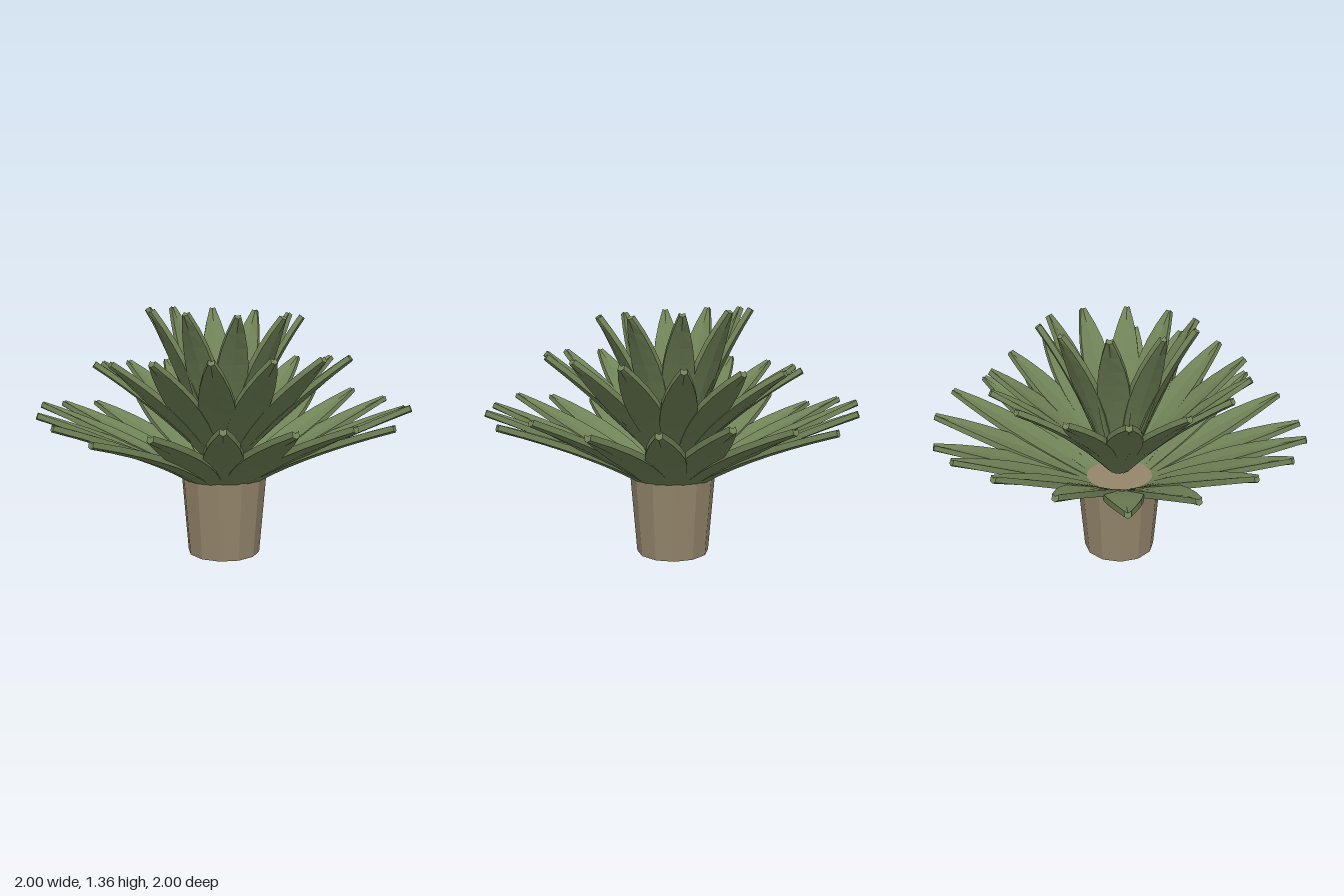
import * as THREE from 'three';

// Half widths of a leaf from base to tip
const WIDTHS = [0.032, 0.048, 0.066, 0.084, 0.096, 0.1, 0.094, 0.077, 0.051, 0.015];
const TIP_THICK = 0.013;
const CHANNEL = 0.009;

// Thick, slightly channelled leaf that follows an arc in the z-y plane
function leafGeometry(base, bend, tip, widthScale, baseThick) {
  const curve = new THREE.QuadraticBezierCurve(
    new THREE.Vector2(...base), new THREE.Vector2(...bend), new THREE.Vector2(...tip));
  const pos = [], idx = [];
  const last = WIDTHS.length - 1;
  WIDTHS.forEach((width, i) => {
    const t = i / last;
    const p = curve.getPoint(t), d = curve.getTangent(t);
    const w = width * (i === last ? 1 : widthScale);
    const h = THREE.MathUtils.lerp(baseThick, TIP_THICK, t);
    // Section: three points above, three below
    const section = [[-w, h], [0, h - CHANNEL], [w, h], [w, -h], [0, -h - CHANNEL], [-w, -h]];
    for (const [x, n] of section) pos.push(x, p.y + d.x * n, p.x - d.y * n);
  });
  const quad = (a, b, c, d) => idx.push(a, b, c, a, c, d);
  for (let i = 0; i < last; i++) {
    for (let j = 0; j < 6; j++) {
      const k = (j + 1) % 6, r = i * 6;
      quad(r + j, r + 6 + j, r + 6 + k, r + k);
    }
  }
  // Close the base and the blunt tip
  const e = last * 6;
  quad(0, 1, 4, 5);
  quad(1, 2, 3, 4);
  quad(e, e + 5, e + 4, e + 1);
  quad(e + 1, e + 4, e + 3, e + 2);
  const geo = new THREE.BufferGeometry();
  geo.setAttribute('position', new THREE.Float32BufferAttribute(pos, 3));
  geo.setIndex(idx);
  const flat = geo.toNonIndexed();
  flat.computeVertexNormals();
  return flat;
}

// Uneven tip heights of the outer leaves, going round from the front
const OUTER_TIPS = [0.75, 0.8, 0.84, 0.82, 0.82, 0.79, 0.85, 0.81, 0.83, 0.85,
  0.82, 0.78, 0.83, 0.85, 0.83, 0.77, 0.8, 0.83, 0.81, 0.79];

export function createModel() {
  const model = new THREE.Group();
  model.name = 'rosettePlant';

  const leafGreen = new THREE.MeshStandardMaterial({ color: 0x728559, flatShading: true });
  leafGreen.name = 'leafGreen';
  const stemTan = new THREE.MeshStandardMaterial({ color: 0x94866c, flatShading: true });
  stemTan.name = 'stemTan';

  // Tapered twelve-sided trunk
  const trunk = new THREE.Mesh(new THREE.CylinderGeometry(0.237, 0.2, 0.45, 12), stemTan);
  trunk.name = 'trunk';
  trunk.position.y = 0.225;
  model.add(trunk);

  // Three tiers of leaves: base and bend as [radius, height], then the tip
  const tiers = [
    { name: 'outerLeaves', count: 20, turn: 0, base: [0.03, 0.335], bend: [0.4, 0.59], tipRadius: 0.993,
      width: 1, thick: 0.022, tipHeight: (a, i) => OUTER_TIPS[i] },
    { name: 'middleLeaves', count: 15, turn: 7.5, base: [0.04, 0.5], bend: [0.33, 0.815], tipRadius: 0.69,
      width: 0.93, thick: 0.016, tipHeight: (a) => 1.07 + 0.04 * Math.sin(a + 0.5) },
    { name: 'innerLeaves', count: 10, turn: 9.7, base: [0.042, 0.5], bend: [0.19, 0.98], tipRadius: 0.415,
      width: 0.84, thick: 0.016, tipHeight: (a) => 1.327 + 0.025 * Math.cos(a + 1.7) },
  ];
  for (const tier of tiers) {
    const group = new THREE.Group();
    group.name = tier.name;
    for (let i = 0; i < tier.count; i++) {
      const angle = THREE.MathUtils.degToRad(tier.turn) + (i / tier.count) * Math.PI * 2;
      const tip = [tier.tipRadius, tier.tipHeight(angle, i)];
      const leaf = new THREE.Mesh(leafGeometry(tier.base, tier.bend, tip, tier.width, tier.thick), leafGreen);
      leaf.name = 'leaf';
      leaf.rotation.y = angle;
      group.add(leaf);
    }
    model.add(group);
  }
  return model;
}
